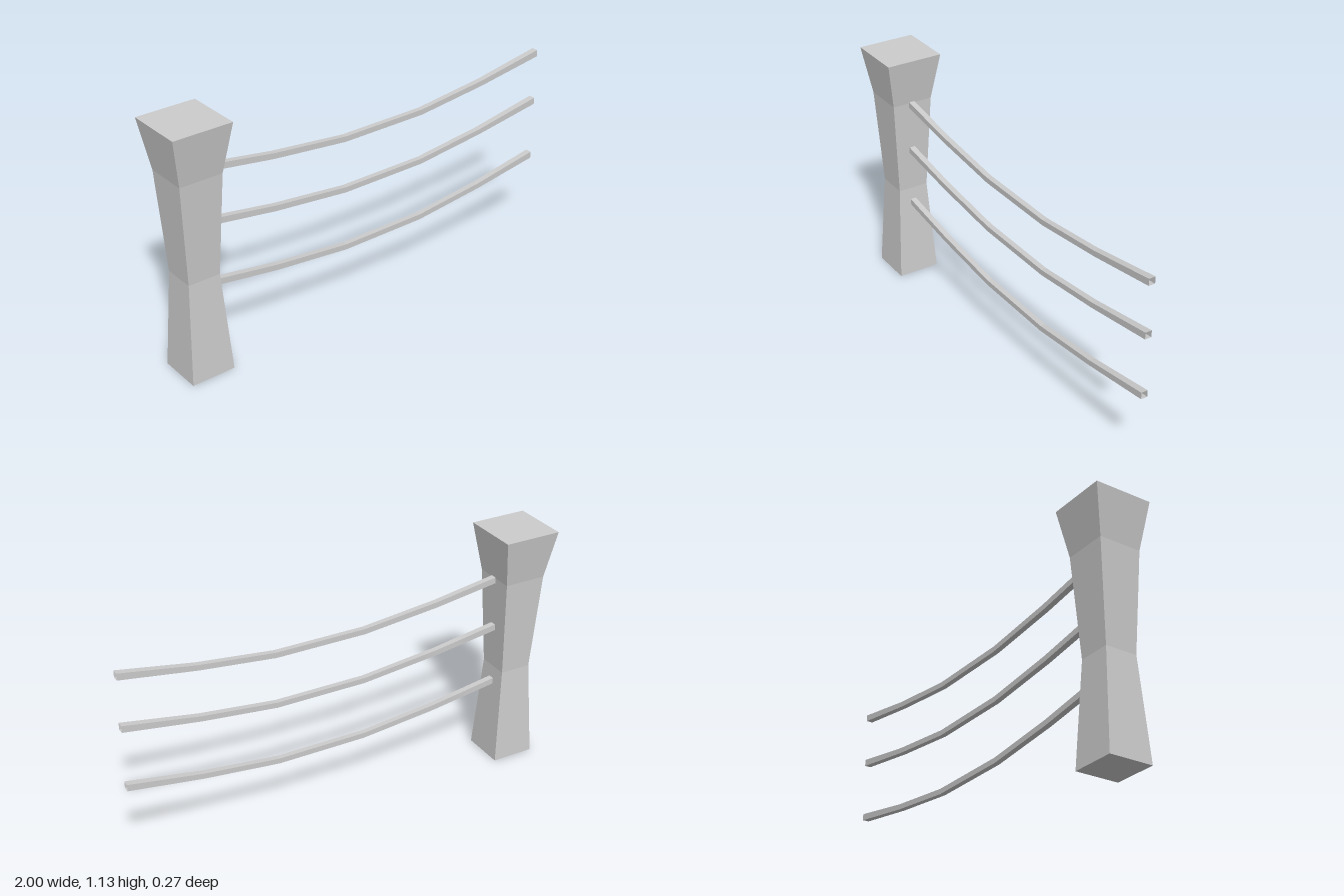
import * as THREE from 'three';

const grey = new THREE.MeshStandardMaterial({ color: 0xcccccc, flatShading: true });
const greyOpen = new THREE.MeshStandardMaterial({ color: 0xcccccc, flatShading: true, side: THREE.DoubleSide });

// Square waisted post: [half width, height] rings, turned with four sides
function makePost() {
  const rings = [[0, 0], [0.1, 0], [0.073, 0.455], [0.097, 0.91], [0.133, 1.13], [0, 1.13]];
  const points = rings.map(([half, y]) => new THREE.Vector2(half * Math.SQRT2, y));
  const post = new THREE.Mesh(new THREE.LatheGeometry(points, 4, Math.PI / 4), grey);
  post.name = 'post';
  post.position.set(-0.867, 0, 0.002);
  return post;
}

// Sagging open-ended square rail: [x, bottom y, top y, half depth] sections
function makeRail() {
  const sections = [
    [-0.82, 0.894, 0.923, 0.014], [-0.47, 0.842, 0.868, 0.013], [-0.11, 0.805, 0.83, 0.0125],
    [0.31, 0.805, 0.83, 0.0125], [0.66, 0.844, 0.869, 0.0135], [1, 0.896, 0.927, 0.015],
  ];
  const positions = [];
  const index = [];
  sections.forEach(([x, low, high, d], i) => {
    positions.push(x, low, d, x, high, d, x, high, -d, x, low, -d);
    if (i === 0) return;
    for (let k = 0; k < 4; k++) {
      const a = (i - 1) * 4 + k, b = (i - 1) * 4 + (k + 1) % 4;
      index.push(a, a + 4, b, b, a + 4, b + 4);
    }
  });
  const geometry = new THREE.BufferGeometry();
  geometry.setAttribute('position', new THREE.Float32BufferAttribute(positions, 3));
  geometry.setIndex(index);
  geometry.computeVertexNormals();
  return geometry;
}

export function createModel() {
  const model = new THREE.Group();
  model.name = 'fencePostWithRails';
  model.add(makePost());

  // Three identical rails, stacked down the post
  const railGeometry = makeRail();
  const drops = { topRail: 0, middleRail: 0.24, bottomRail: 0.522 };
  for (const [name, drop] of Object.entries(drops)) {
    const rail = new THREE.Mesh(railGeometry, greyOpen);
    rail.name = name;
    rail.position.set(0, -drop, 0.005);
    model.add(rail);
  }
  return model;
}
